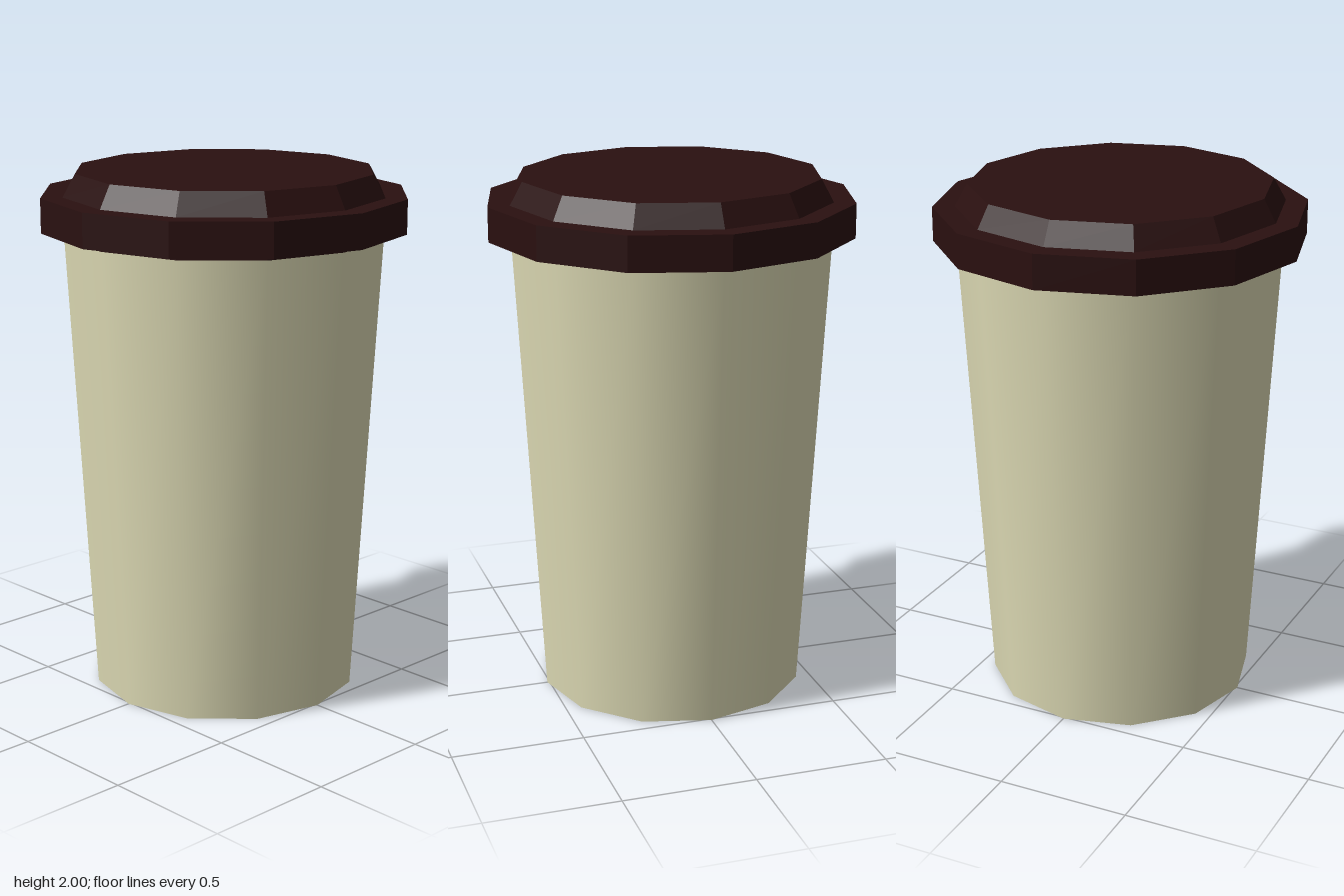
import * as THREE from 'three';

const SIDES = 12;

export function createModel() {
  const group = new THREE.Group();
  group.name = 'takeawayCup';

  const paper = new THREE.MeshStandardMaterial({ color: 0xdedbb5 });
  paper.name = 'cream paper';
  const plastic = new THREE.MeshStandardMaterial({ color: 0x2a1010 });
  plastic.name = 'dark brown plastic';

  // Twelve-sided tapered ring standing between two heights
  function addRing(name, bottomRadius, topRadius, y0, y1, material, flat) {
    let geometry = new THREE.CylinderGeometry(topRadius, bottomRadius, y1 - y0, SIDES);
    if (flat) {
      geometry = geometry.toNonIndexed();
      geometry.computeVertexNormals();
    }
    const mesh = new THREE.Mesh(geometry, material);
    mesh.name = name;
    mesh.position.y = (y0 + y1) / 2;
    group.add(mesh);
  }

  // Smooth tapered body
  addRing('cupBody', 0.51, 0.61, 0, 1.78, paper, false);

  // Lid: thin skirt hugging the cup, wide rim, bevelled top
  addRing('lidSkirt', 0.612, 0.612, 1.765, 1.79, plastic, true);
  addRing('lidRim', 0.695, 0.695, 1.785, 1.915, plastic, true);
  addRing('lidTop', 0.612, 0.565, 1.915, 2, plastic, true);

  return group;
}
